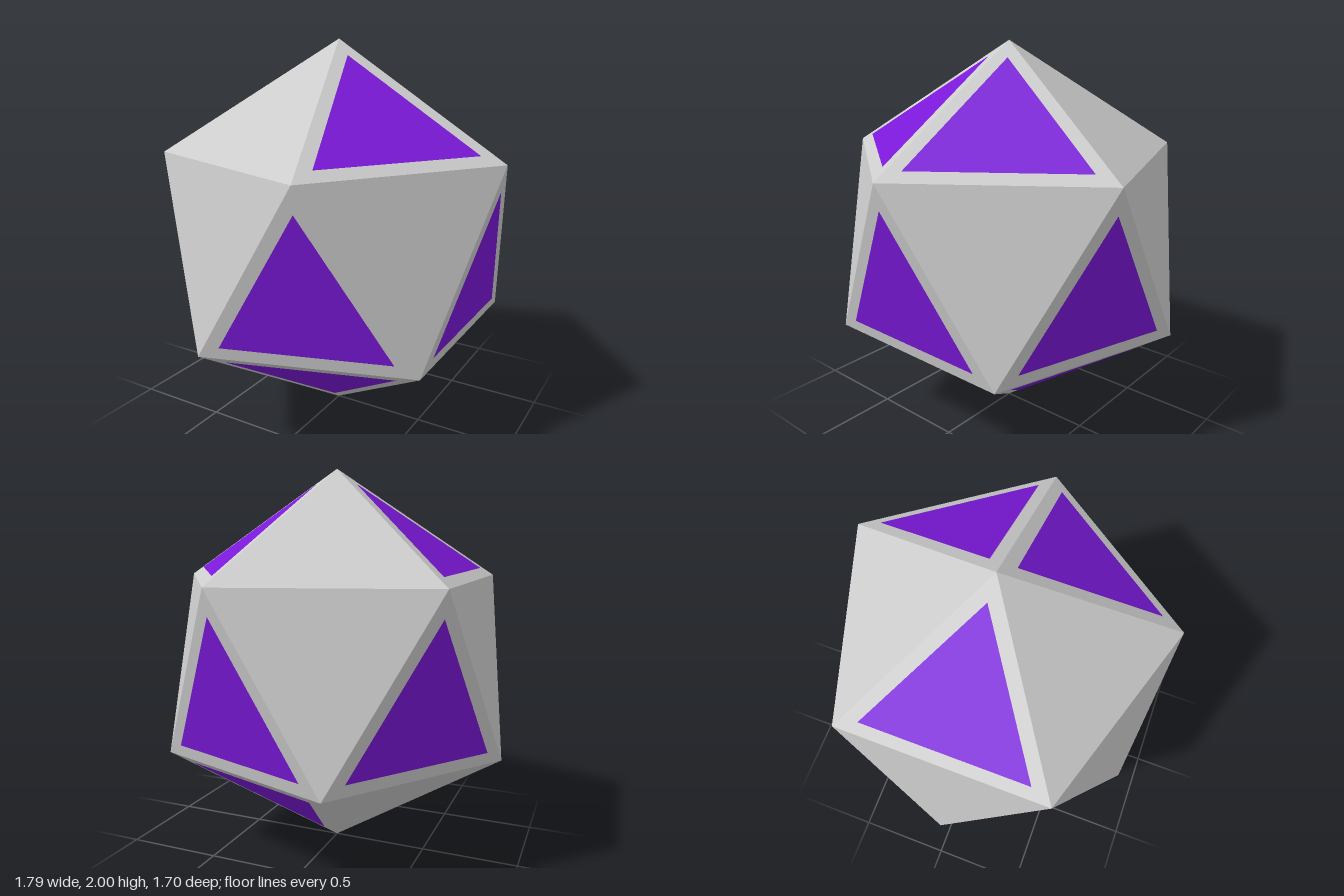
import * as THREE from 'three';

const PANEL_SCALE = 0.785; // panel size relative to its face
const PANEL_LIFT = 0.003; // keeps panels just clear of the face

// Flat triangle wound to face away from the centre of the solid
function triangle(corners) {
  const [a, b, c] = corners;
  const normal = b.clone().sub(a).cross(c.clone().sub(a));
  const ordered = normal.dot(a) > 0 ? [a, b, c] : [a, c, b];
  const geometry = new THREE.BufferGeometry().setFromPoints(ordered);
  geometry.computeVertexNormals();
  return geometry;
}

// The same face shrunk about its middle and lifted slightly
function insetCorners(corners) {
  const middle = new THREE.Vector3();
  corners.forEach((p) => middle.addScaledVector(p, 1 / 3));
  const lift = middle.clone().setLength(PANEL_LIFT);
  return corners.map((p) => middle.clone().lerp(p, PANEL_SCALE).add(lift));
}

export function createModel() {
  const model = new THREE.Group();
  model.name = 'icosahedron';
  const grey = new THREE.MeshStandardMaterial({ color: 0xcccccc, flatShading: true });
  const purple = new THREE.MeshStandardMaterial({ color: 0x7a18d8, flatShading: true });

  // Two poles and two staggered rings of five corners, on a unit sphere
  const ringY = 1 / Math.sqrt(5);
  const ringRadius = 2 * ringY;
  const ringPoint = (y, turn) => {
    const angle = (turn * Math.PI * 2) / 5;
    return new THREE.Vector3(ringRadius * Math.cos(angle), y, ringRadius * Math.sin(angle));
  };
  const upper = (k) => ringPoint(ringY, k);
  const lower = (k) => ringPoint(-ringY, k + 0.5);
  const top = new THREE.Vector3(0, 1, 0);
  const bottom = new THREE.Vector3(0, -1, 0);

  function addFace(name, corners, hasPanel) {
    const face = new THREE.Mesh(triangle(corners), grey);
    face.name = name;
    model.add(face);
    if (!hasPanel) return;
    const panel = new THREE.Mesh(triangle(insetCorners(corners)), purple);
    panel.name = name + 'Panel';
    model.add(panel);
  }

  for (let k = 0; k < 5; k++) {
    // Caps carry panels on some faces only
    addFace('topFace' + k, [top, upper(k), upper(k + 1)], [0, 2, 4].includes(k));
    addFace('bottomFace' + k, [bottom, lower(k), lower(k + 1)], [0, 3].includes(k));
    // Band: upward triangles carry panels, downward ones are plain
    addFace('upwardFace' + k, [upper(k), lower(k - 1), lower(k)], true);
    addFace('downwardFace' + k, [lower(k), upper(k), upper(k + 1)], false);
  }

  // Stand the lowest corner on the floor
  model.children.forEach((mesh) => mesh.geometry.translate(0, 1, 0));
  return model;
}
